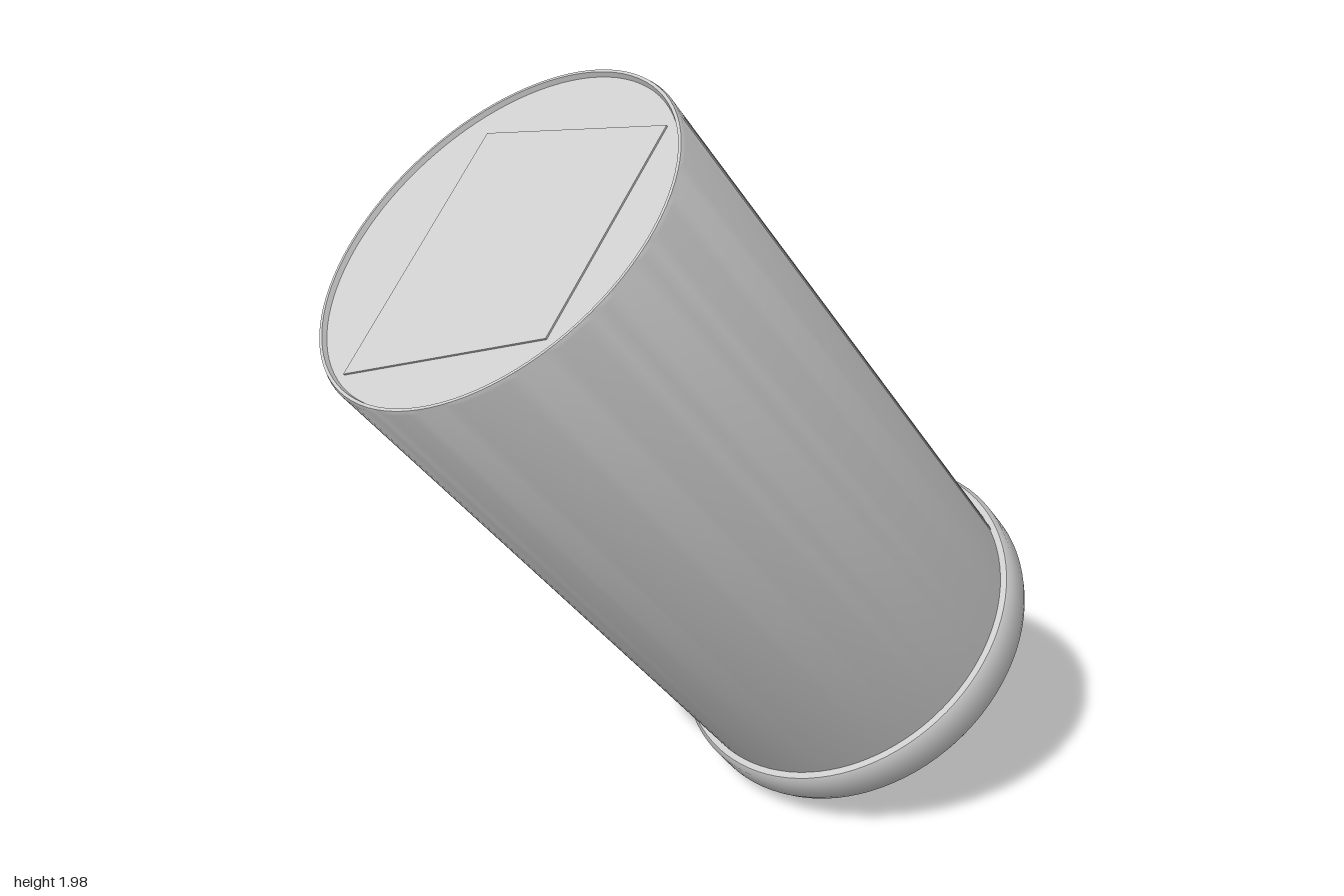
import * as THREE from 'three';
import { toCreasedNormals } from 'three/addons/utils/BufferGeometryUtils.js';

export function createModel() {
  const paper = new THREE.MeshStandardMaterial({ color: 0xcccccc });
  paper.name = 'pale grey';

  // Built along y with the cup's base at y = 0 and the lid below, then tilted
  const cup = new THREE.Group();
  cup.name = 'upturnedCup';

  function add(name, geometry) {
    const mesh = new THREE.Mesh(geometry, paper);
    mesh.name = name;
    cup.add(mesh);
    return mesh;
  }

  // Profiles run from the bottom to the top, as [radius, height]
  function turn(name, profile) {
    const points = profile.map(([r, y]) => new THREE.Vector2(r, y));
    return add(name, toCreasedNormals(new THREE.LatheGeometry(points, 96), 0.6));
  }

  // Sleeve with a thin rolled rim around the sunken base disc
  turn('cupBody', [
    [0.474, -1.66], [0.467, -0.01], [0.463, 0], [0.456, 0], [0.452, -0.012], [0, -0.012],
  ]);

  // Stepped lid: dished centre, drinking ridge, rounded shoulder, clip-on band
  turn('lid', [
    [0, -1.885], [0.21, -1.885], [0.25, -1.872], [0.28, -1.9], [0.31, -1.907],
    [0.335, -1.895], [0.35, -1.845], [0.365, -1.82], [0.41, -1.808], [0.45, -1.785],
    [0.472, -1.75], [0.476, -1.725], [0.496, -1.722], [0.503, -1.7], [0.501, -1.63],
    [0.49, -1.612], [0.472, -1.61],
  ]);

  // Overlap seam along the sleeve
  const seam = add('sleeveSeam', new THREE.BoxGeometry(0.012, 1.59, 0.008));
  seam.position.set(0.25, -0.815, -0.397);
  seam.rotation.set(-0.004, Math.atan2(0.25, -0.397), 0, 'YXZ');

  // Four-sided panel pressed into the base disc
  const outline = [[-0.3, 0.23], [-0.11, -0.42], [0.38, -0.17], [0.24, 0.36]];
  const shape = new THREE.Shape(outline.map(([x, y]) => new THREE.Vector2(x, y)));
  const panel = add('basePanel', new THREE.ExtrudeGeometry(shape, { depth: 0.004, bevelEnabled: false }));
  panel.rotation.x = -Math.PI / 2;
  panel.position.y = -0.012;

  // Lean the cup so the base faces up and forward
  const axis = new THREE.Vector3(-0.031, 0.779, 0.626).normalize();
  cup.quaternion.setFromUnitVectors(new THREE.Vector3(0, 1, 0), axis);
  cup.position.set(-0.04, 1.705, 0.55);

  const model = new THREE.Group();
  model.name = 'tiltedCup';
  model.add(cup);
  return model;
}
